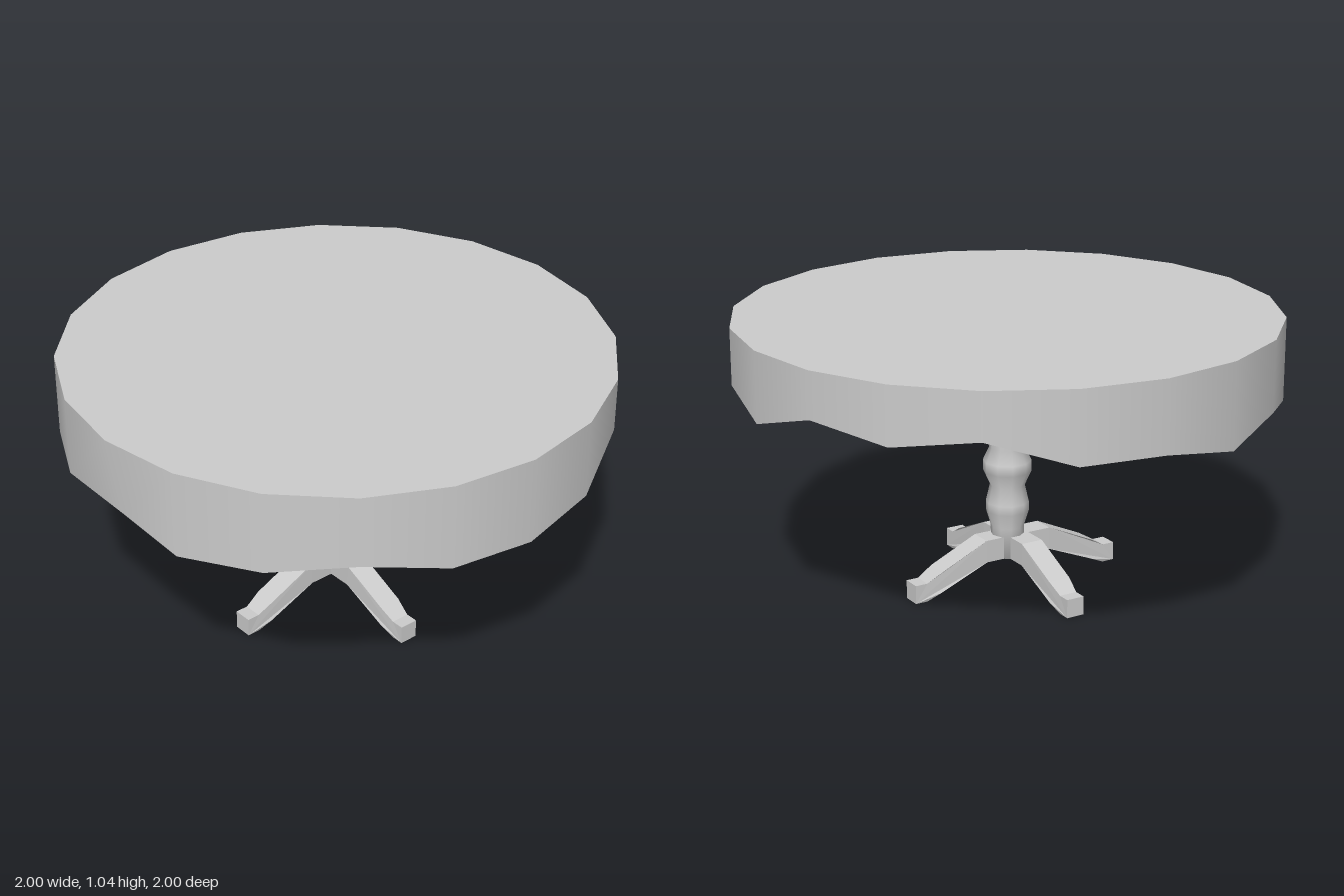
import * as THREE from 'three';

const TOP = 1.037;      // height of the cloth
const BOARD = 0.94;     // underside of the table top

// Cloth hem heights, starting at the front and turning towards +x
const HEM = [0.715, 0.745, 0.835, 0.877, 0.828, 0.777, 0.866, 0.825, 0.866, 0.775,
  0.775, 0.722, 0.775, 0.727, 0.743, 0.79, 0.715, 0.733, 0.775, 0.72];

export function createModel() {
  const model = new THREE.Group();
  model.name = 'pedestalTable';
  const grey = new THREE.MeshStandardMaterial({ color: 0xcccccc });
  const thin = new THREE.MeshStandardMaterial({ color: 0xcccccc, side: THREE.DoubleSide });
  const flat = new THREE.MeshStandardMaterial({ color: 0xcccccc, flatShading: true });

  const add = (name, geometry, material, parent = model) => {
    const mesh = new THREE.Mesh(geometry, material);
    mesh.name = name;
    parent.add(mesh);
    return mesh;
  };

  // Tablecloth: flat disc and a hanging skirt with an uneven hem
  const cloth = new THREE.Group();
  cloth.name = 'tablecloth';
  model.add(cloth);
  const n = HEM.length;
  const disc = new THREE.CircleGeometry(1, n).rotateX(-Math.PI / 2).translate(0, TOP, 0);
  add('clothTop', disc, thin, cloth);

  const skirt = new THREE.CylinderGeometry(1, 1, 1, n, 1, true).translate(0, TOP - 0.5, 0);
  const pos = skirt.attributes.position;
  for (let i = 0; i <= n; i++) pos.setY(n + 1 + i, HEM[i % n]);
  pos.setZ(n + 1 + 15, 0.08); // one hem corner swings forward
  add('clothSkirt', skirt, thin, cloth);

  // Round board hidden under the cloth
  const thickness = TOP - 0.01 - BOARD;
  add('tableTop', new THREE.CylinderGeometry(0.95, 0.95, thickness, n)
    .translate(0, BOARD + thickness / 2, 0), grey);

  // Turned ten-sided column
  const profile = [[0, 0.105], [0.062, 0.105], [0.062, 0.22], [0.08, 0.28], [0.08, 0.315],
    [0.065, 0.38], [0.09, 0.435], [0.09, 0.475], [0.067, 0.525], [0.067, BOARD + 0.005]];
  const column = new THREE.LatheGeometry(profile.map(p => new THREE.Vector2(...p)), 10, Math.PI / 2);
  add('column', column, grey);

  // Four splayed legs, slimmer at the feet
  const outline = [[0, 0.105], [0.135, 0.105], [0.33, 0.025], [0.385, 0], [0.433, 0],
    [0.433, 0.07], [0.385, 0.07], [0.325, 0.105], [0.137, 0.19], [0, 0.19]];
  const shape = new THREE.Shape(outline.map(p => new THREE.Vector2(...p)));
  const legGeo = new THREE.ExtrudeGeometry(shape, { depth: 0.086, bevelEnabled: false })
    .translate(0, 0, -0.043);
  const lp = legGeo.attributes.position;
  for (let i = 0; i < lp.count; i++) {
    if (lp.getX(i) > 0.35) lp.setZ(i, lp.getZ(i) * 0.81);
  }
  legGeo.computeVertexNormals();
  const base = new THREE.Group();
  base.name = 'base';
  base.position.x = -0.022;
  model.add(base);
  ['leftLeg', 'backLeg', 'rightLeg', 'frontLeg'].forEach((name, i) => {
    add(name, legGeo, flat, base).rotation.y = i * Math.PI / 2;
  });

  return model;
}
